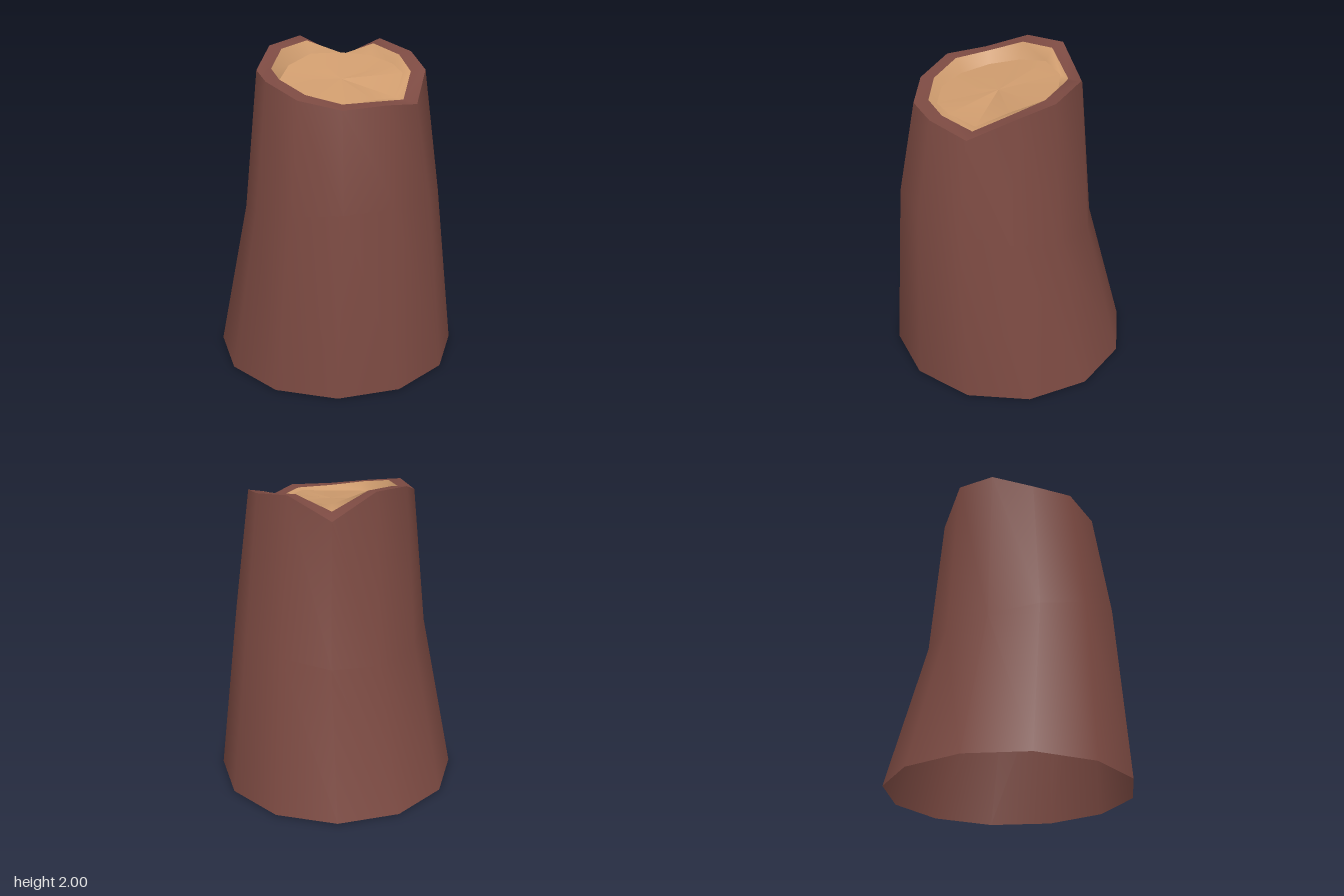
import * as THREE from 'three';

const SIDES = 12;
const TURN = -8 * Math.PI / 180;

// Twelve-sided ring; height is a function of (index, z)
function ring(radius, cz, height) {
  return Array.from({ length: SIDES }, (_, k) => {
    const a = TURN + k * Math.PI * 2 / SIDES;
    const z = cz + radius * Math.sin(a);
    return [radius * Math.cos(a), height(k, z), z];
  });
}

// Smooth skin over successive rings
function loft(name, rings, material) {
  const index = [];
  for (let i = 0; i < rings.length - 1; i++) {
    for (let k = 0; k < SIDES; k++) {
      const a = i * SIDES + k, b = i * SIDES + (k + 1) % SIDES;
      index.push(a, a + SIDES, b + SIDES, a, b + SIDES, b);
    }
  }
  const geometry = new THREE.BufferGeometry();
  geometry.setAttribute('position', new THREE.Float32BufferAttribute(rings.flat(2), 3));
  geometry.setIndex(index);
  geometry.computeVertexNormals();
  const mesh = new THREE.Mesh(geometry, material);
  mesh.name = name;
  return mesh;
}

export function createModel() {
  const bark = new THREE.MeshStandardMaterial({ color: 0x7c4a42, side: THREE.DoubleSide });
  bark.name = 'bark brown';
  const wood = new THREE.MeshStandardMaterial({ color: 0xcf9c6e, side: THREE.DoubleSide });
  wood.name = 'cut wood tan';

  // Jagged heights around the broken top, from the +x side towards the front
  const rimY = [1.94, 1.89, 1.75, 1.80, 1.79, 1.83, 1.89, 1.89, 1.98, 2.0, 1.84, 1.98];
  const innerY = [1.93, 1.88, 1.765, 1.80, 1.80, 1.84, 1.89, 1.90, 1.97, 1.985, 1.875, 1.965];
  const woodY = [1.88, 1.87, 1.77, 1.795, 1.775, 1.79, 1.805, 1.83, 1.87, 1.91, 1.905, 1.90];

  const base = ring(0.77, 0, () => 0);
  const middle = ring(0.61, 0.095, (k, z) => 1.06 + 0.23 * (z - 0.095));
  const rimOuter = ring(0.515, 0.077, k => rimY[k]);
  const rimInner = ring(0.425, 0.077, k => innerY[k]);
  const woodEdge = ring(0.375, 0.077, k => woodY[k]);
  const woodCentre = ring(0.002, 0.077, () => 1.835);

  const model = new THREE.Group();
  model.name = 'treeStump';
  model.add(
    loft('barkTrunk', [base, middle, rimOuter], bark), // open underneath
    loft('barkRim', [rimOuter, rimInner], bark),
    loft('innerWall', [rimInner, woodEdge], wood),
    loft('woodSurface', [woodEdge, woodCentre], wood),
  );
  return model;
}
